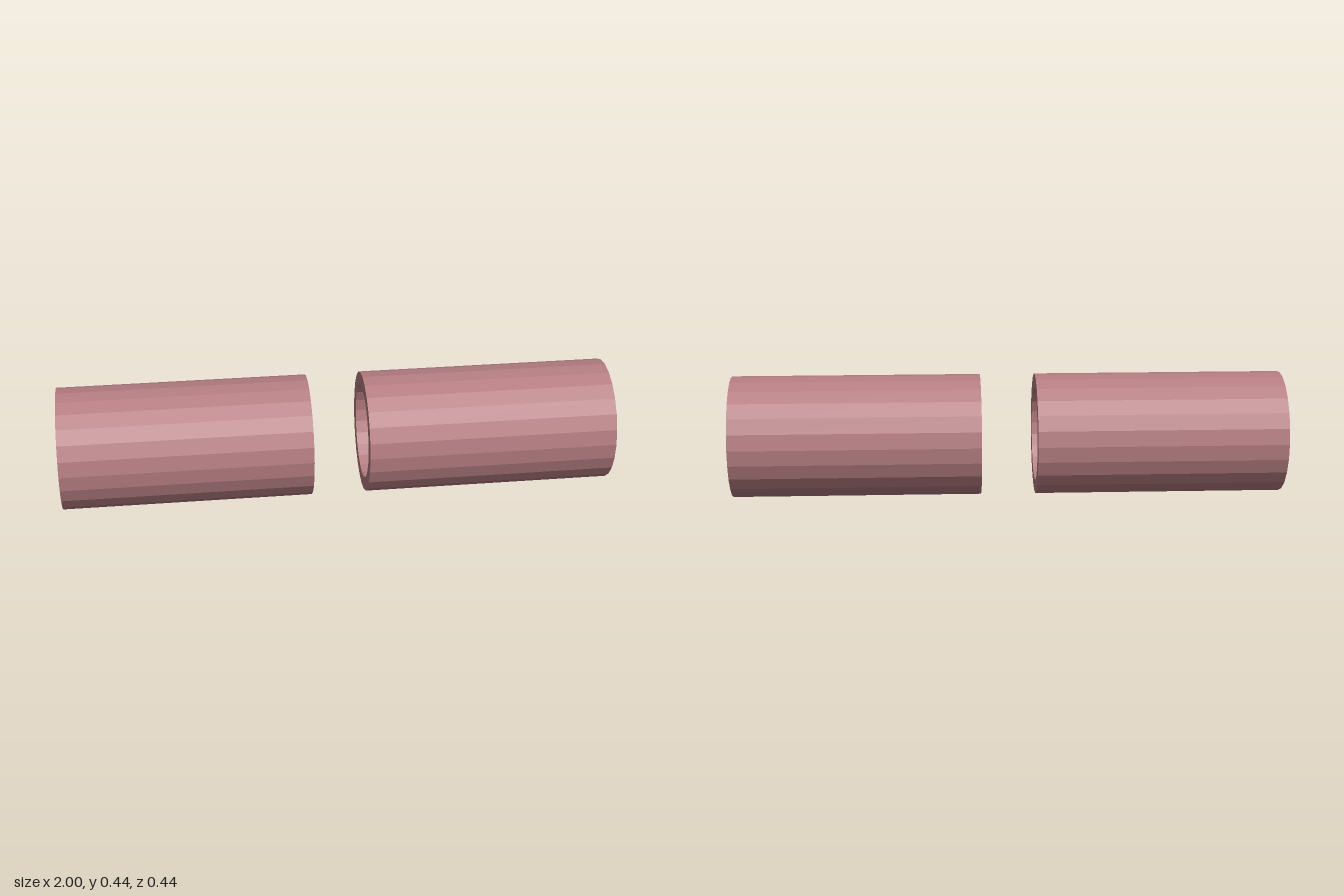
import * as THREE from 'three';

const OUTER = 0.22, INNER = 0.171, LENGTH = 0.9, GAP = 0.2, SIDES = 24;

export function createModel() {
  const model = new THREE.Group();
  model.name = 'tubePair';

  const material = new THREE.MeshStandardMaterial({ color: 0xb47d81, flatShading: true });

  // Closed wall section, turned into a hollow tube lying along x
  const h = LENGTH / 2;
  const wall = [[OUTER, -h], [OUTER, h], [INNER, h], [INNER, -h], [OUTER, -h]]
    .map(([r, y]) => new THREE.Vector2(r, y));
  const geometry = new THREE.LatheGeometry(wall, SIDES).rotateZ(Math.PI / 2);

  // One tube on each side of the gap
  for (const [name, side] of [['leftTube', 1], ['rightTube', -1]]) {
    const tube = new THREE.Mesh(geometry, material);
    tube.name = name;
    tube.position.set(side * (GAP + LENGTH) / 2, OUTER, 0);
    model.add(tube);
  }
  return model;
}
